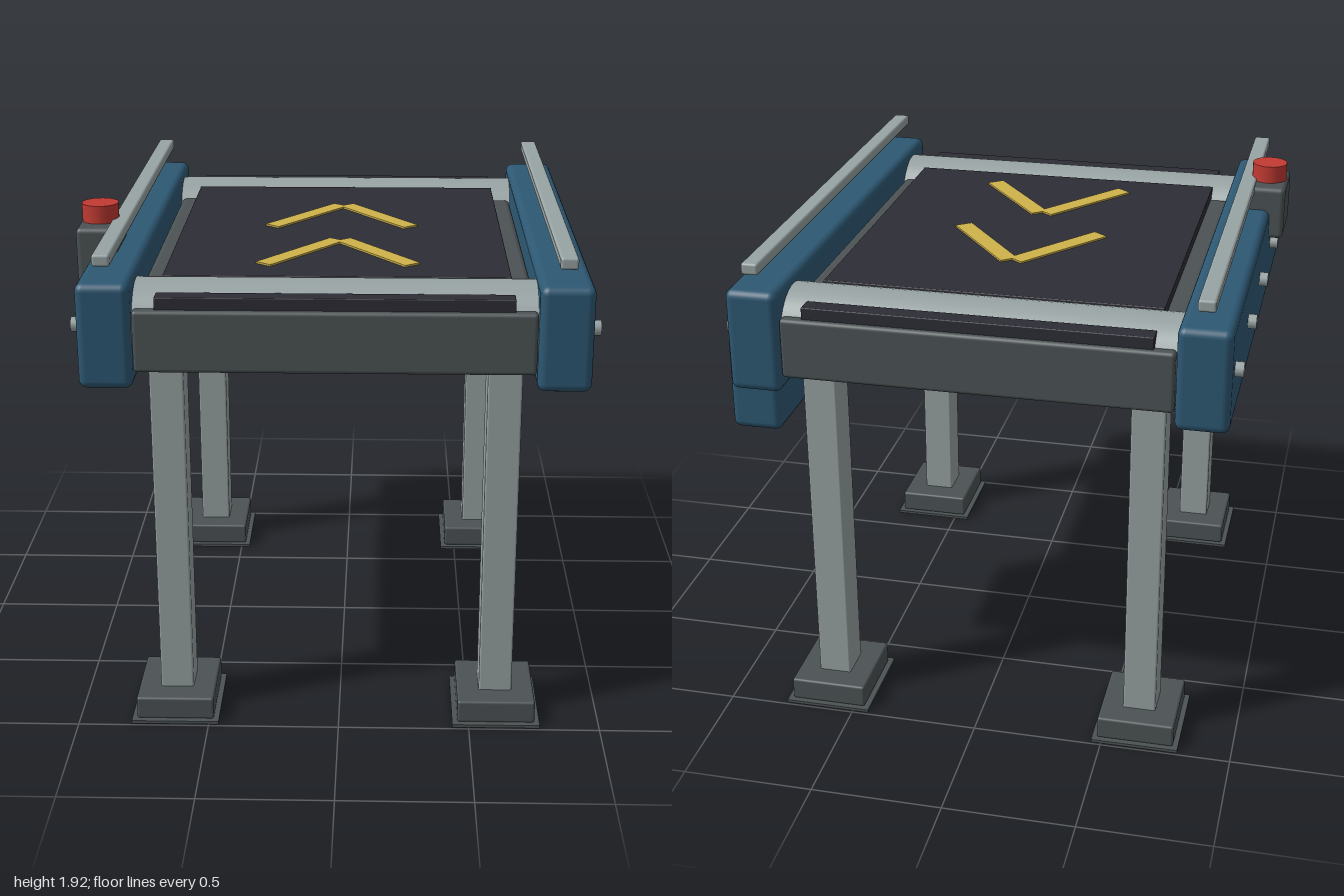
import * as THREE from 'three';
import { RoundedBoxGeometry } from 'three/addons/geometries/RoundedBoxGeometry.js';

const material = (name, color) => {
  const m = new THREE.MeshStandardMaterial({ color });
  m.name = name;
  return m;
};

export function createModel() {
  const model = new THREE.Group();
  model.name = 'conveyor';
  const blue = material('blue paint', 0x2d5873);
  const metal = material('light metal', 0x98a3a3);
  const grey = material('dark grey', 0x4c5355);
  const rubber = material('belt rubber', 0x2d2d36);
  const yellow = material('yellow marking', 0xcfb24b);
  const red = material('red button', 0xc23a32);

  const CX = -0.012; // centre line of the frame

  const add = (name, geometry, mat, x, y, z) => {
    const mesh = new THREE.Mesh(geometry, mat);
    mesh.name = name;
    mesh.position.set(x, y, z);
    model.add(mesh);
    return mesh;
  };
  // Box given by its limits on each axis, with an optional rounded edge
  const block = (name, mat, [x0, x1], [y0, y1], [z0, z1], r = 0) => {
    const s = [x1 - x0, y1 - y0, z1 - z0];
    const g = r ? new RoundedBoxGeometry(...s, 3, r) : new THREE.BoxGeometry(...s);
    return add(name, g, mat, (x0 + x1) / 2, (y0 + y1) / 2, (z0 + z1) / 2);
  };
  const around = (c, w) => [c - w / 2, c + w / 2];

  for (const side of [-1, 1]) {
    // Side frames, guide rails and bolts
    block('sideFrame', blue, around(CX + side * 0.82, 0.195), [1.37, 1.76], [-0.997, 0.997], 0.03);
    block('guideRail', metal, around(CX + side * 0.819, 0.064), [1.82, 1.864], [-0.98, 0.98], 0.01);
    for (let i = -2; i <= 2; i++) {
      const bolt = add('bolt', new THREE.CylinderGeometry(0.028, 0.028, 0.06, 12), metal,
        CX + side * 0.92, 1.58, i * 0.441);
      bolt.rotation.z = Math.PI / 2;
    }

    // Legs with stepped feet
    for (const end of [-1, 1]) {
      const x = CX + side * 0.617, z = end * 0.802;
      block('leg', metal, around(x, 0.127), [0.09, 1.41], around(z, 0.145), 0.008);
      block('foot', grey, around(x, 0.297), [0.01, 0.1], around(z, 0.336), 0.01);
      block('footPad', grey, around(x, 0.335), [0, 0.012], around(z, 0.376));
    }
  }

  // Rollers, end beams and the belt ends
  for (const end of [-1, 1]) {
    const roller = add('roller', new THREE.CylinderGeometry(0.167, 0.167, 1.45, 40), metal,
      CX, 1.563, end * 0.8);
    roller.rotation.z = Math.PI / 2;
    block('endBeam', grey, around(CX, 1.44), [1.43, 1.66], around(end * 0.96, 0.05), 0.015);
    block('beltEnd', rubber, around(CX, 1.28), [1.45, 1.705], around(end * 0.929, 0.07), 0.004);
  }

  // Bed and belt
  block('bed', grey, around(CX, 1.44), [1.42, 1.67], [-0.67, 0.67], 0.025);
  block('belt', rubber, around(CX, 1.28), [1.66, 1.712], [-0.705, 0.705], 0.004);

  // Chevron markings
  for (const z of [-0.18, 0.38]) {
    for (const side of [-1, 1]) {
      const arm = add('chevronArm', new THREE.BoxGeometry(0.07, 0.008, 0.442), yellow,
        CX + side * 0.146, 1.715, z);
      arm.rotation.y = side * 0.65;
    }
  }

  // Motor housing
  block('motorHousing', blue, [0.79, 0.985], [1.12, 1.49], [-0.815, -0.305], 0.03);

  // Stop button on its box
  block('stopBox', grey, [-0.987, -0.835], [1.64, 1.852], [0.303, 0.577], 0.02);
  add('stopButton', new THREE.CylinderGeometry(0.069, 0.069, 0.07, 24), red, -0.91, 1.885, 0.44);

  return model;
}
